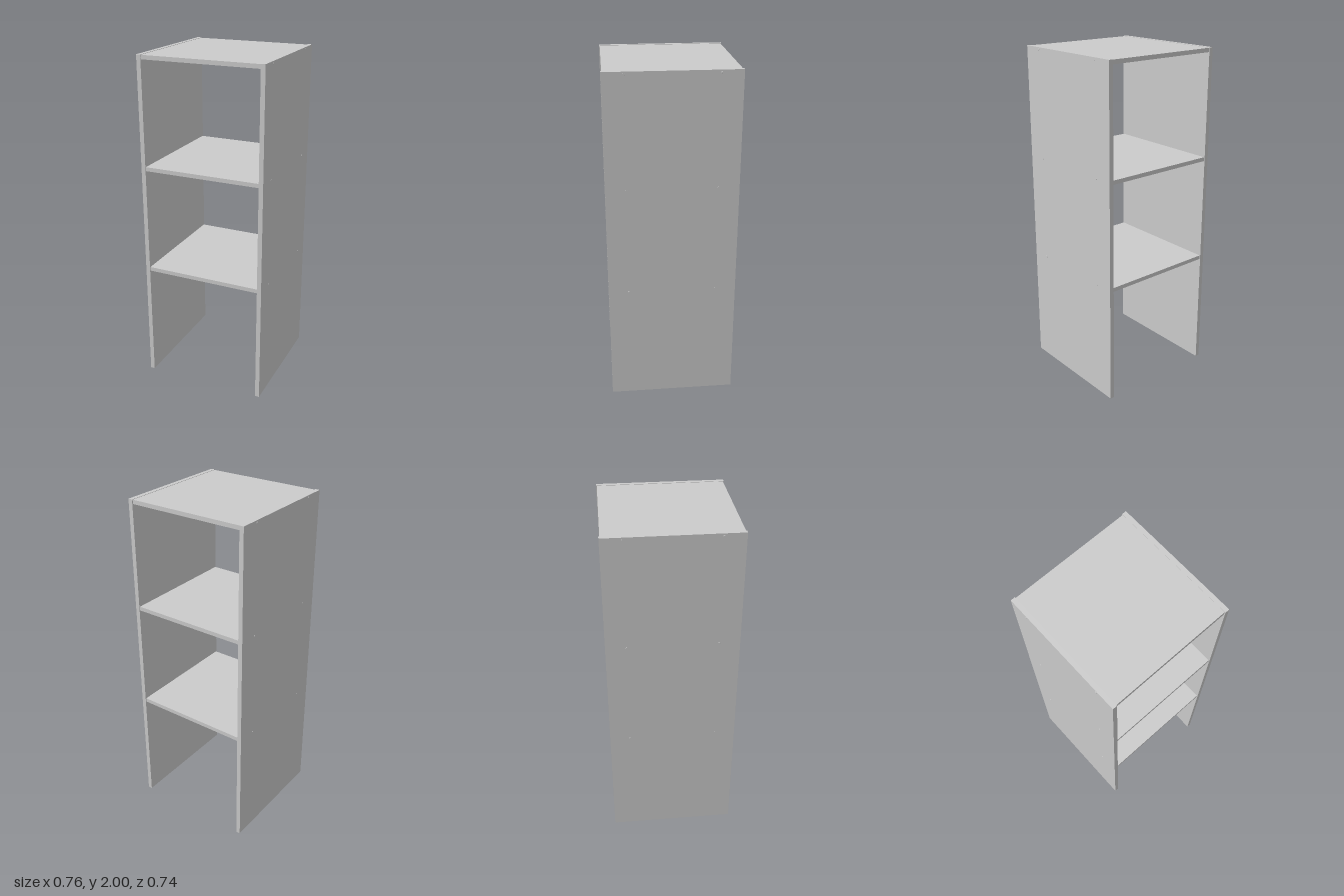
import * as THREE from 'three';

const material = new THREE.MeshStandardMaterial({ color: 0xcccccc });

function addMesh(parent, name, geometry, x, y, z) {
  const mesh = new THREE.Mesh(geometry, material);
  mesh.name = name;
  mesh.position.set(x, y, z);
  parent.add(mesh);
  return mesh;
}

export function createModel() {
  const model = new THREE.Group();
  model.name = 'shelfUnit';

  const inner = 0.35, outer = 0.376;      // inner and outer faces of the side panels
  const thickness = 0.024;
  const shelfHeights = [0.713, 1.35, 1.986]; // shelf centres

  // Side panels reach the floor and stand slightly proud of the shelves
  const panel = new THREE.BoxGeometry(outer - inner, 2, 0.742);
  const shelf = new THREE.BoxGeometry(inner * 2, thickness, 0.732);

  // Small, slightly tapered screw head
  const screw = new THREE.CylinderGeometry(0.005, 0.0065, 0.004, 16);

  for (const side of [1, -1]) {
    addMesh(model, side > 0 ? 'leftPanel' : 'rightPanel', panel, side * (inner + outer) / 2, 1, 0);
  }

  shelfHeights.forEach((y, i) => {
    addMesh(model, ['lowerShelf', 'middleShelf', 'topShelf'][i], shelf, 0, y, 0);

    // Two screws through each panel into the shelf ends
    for (const side of [1, -1]) {
      for (const z of [0.254, -0.254]) {
        const head = addMesh(model, 'screwHead', screw, side * outer, y, z);
        head.rotation.z = -side * Math.PI / 2;
      }
    }
  });

  return model;
}
